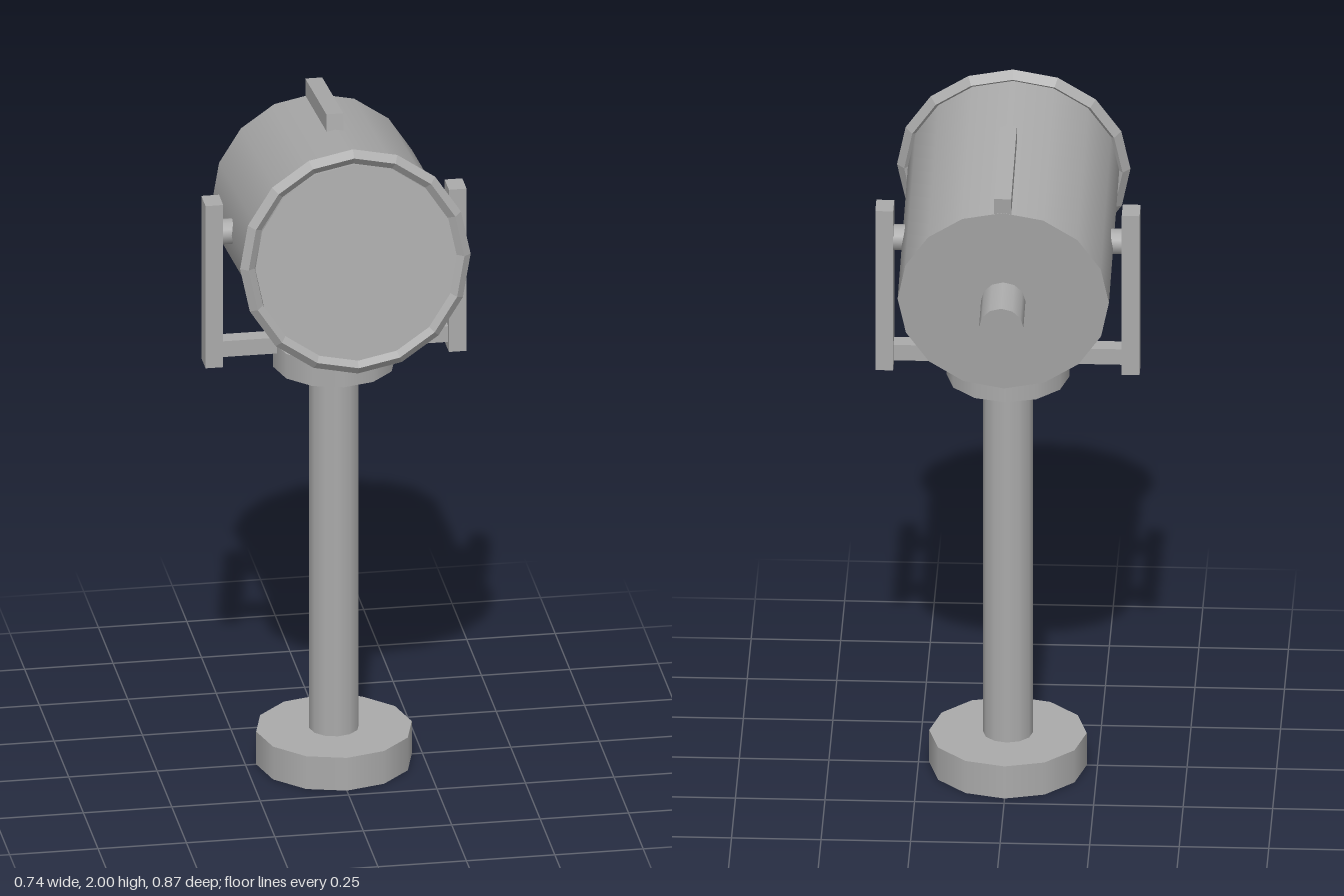
import * as THREE from 'three';

export function createModel() {
  const grey = new THREE.MeshStandardMaterial({ color: 0xaaaaaa });
  grey.name = 'grey metal';
  const model = new THREE.Group();
  model.name = 'searchlight';

  function add(parent, name, geometry, x = 0, y = 0, z = 0) {
    const mesh = new THREE.Mesh(geometry, grey);
    mesh.name = name;
    mesh.position.set(x, y, z);
    parent.add(mesh);
    return mesh;
  }
  // Upright cylinder between two heights
  const post = (name, r, y0, y1) =>
    add(model, name, new THREE.CylinderGeometry(r, r, y1 - y0, 12), 0, (y0 + y1) / 2, 0);
  // Cylinder along the lamp axis between two depths
  const drum = (parent, name, r, z0, z1, sides) =>
    add(parent, name, new THREE.CylinderGeometry(r, r, z1 - z0, sides).rotateX(Math.PI / 2), 0, 0, (z0 + z1) / 2);

  // Stand
  post('base', 0.22, 0, 0.1);
  post('column', 0.07, 0.1, 1.21);
  post('collar', 0.172, 1.21, 1.285);

  // Yoke with arms and pivots
  add(model, 'yokeCrossbar', new THREE.BoxGeometry(0.65, 0.048, 0.05), 0, 1.285, 0);
  for (const [side, s] of [['left', 1], ['right', -1]]) {
    add(model, side + 'YokeArm', new THREE.BoxGeometry(0.05, 0.495, 0.072), s * 0.344, 1.4825, 0);
    add(model, side + 'Pivot', new THREE.CylinderGeometry(0.036, 0.036, 0.06, 12).rotateZ(Math.PI / 2), s * 0.3, 1.633, 0);
  }

  // Lamp head, tilted slightly upward
  const head = new THREE.Group();
  head.name = 'lampHead';
  head.position.y = 1.63;
  head.rotation.x = -0.133;
  model.add(head);
  drum(head, 'housing', 0.295, -0.303, 0.358, 16);
  drum(head, 'lens', 0.285, 0.34, 0.381, 16);
  drum(head, 'rearKnob', 0.062, -0.435, -0.29, 12);
  add(head, 'topRail', new THREE.BoxGeometry(0.048, 0.06, 0.363), 0, 0.311, -0.1205);

  // Faceted rim with a diamond section
  const rim = new THREE.TorusGeometry(0.305, 0.021, 4, 16).toNonIndexed();
  rim.computeVertexNormals();
  add(head, 'frontRim', rim, 0, 0, 0.368);

  return model;
}
